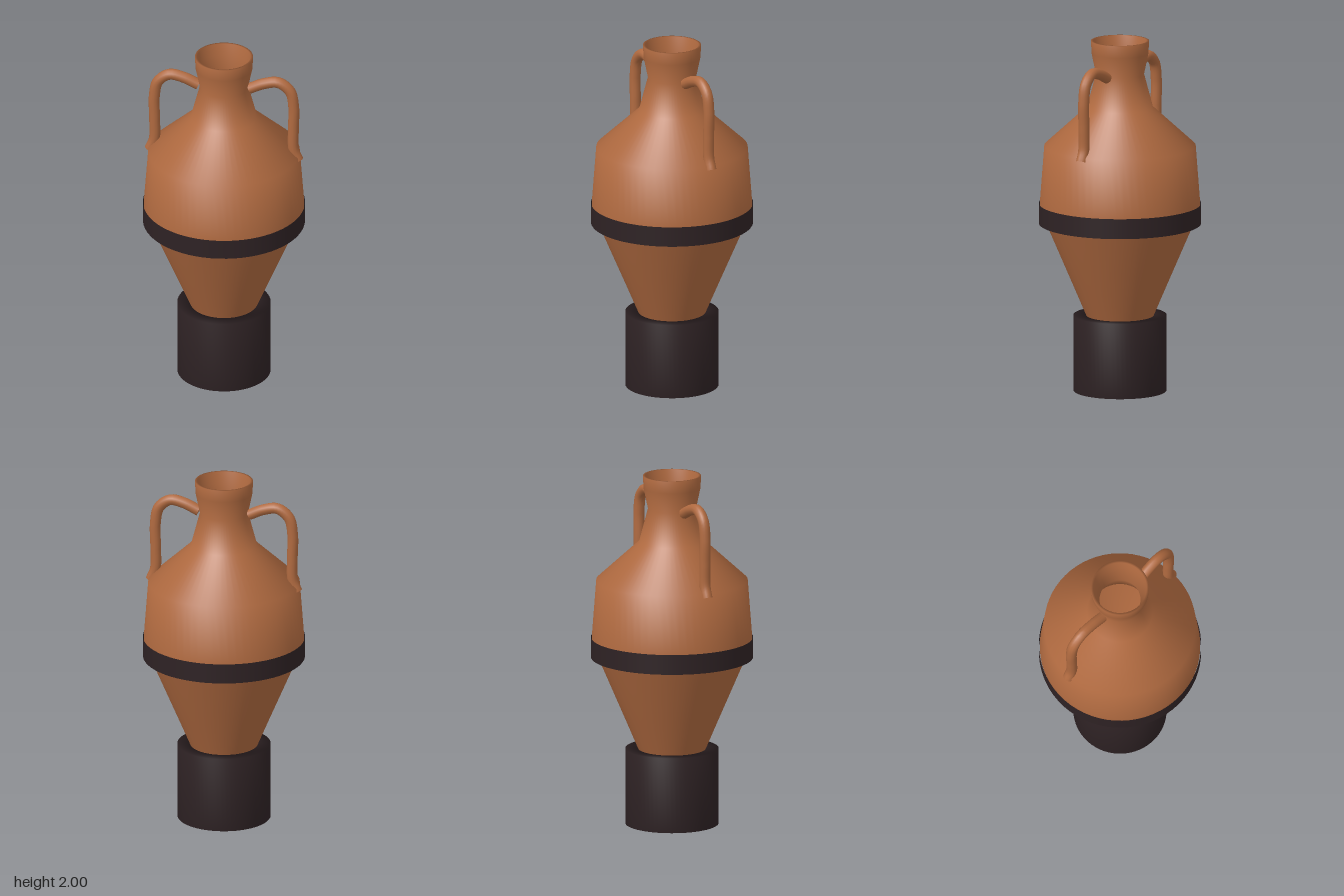
import * as THREE from 'three';

const clay = new THREE.MeshStandardMaterial({ color: 0xb06a40, side: THREE.DoubleSide });
clay.name = 'terracotta';
const dark = new THREE.MeshStandardMaterial({ color: 0x2e2224, side: THREE.DoubleSide });
dark.name = 'dark glaze';

function add(group, name, geometry, material) {
  const mesh = new THREE.Mesh(geometry, material);
  mesh.name = name;
  group.add(mesh);
  return mesh;
}

const lathe = (pts) => new THREE.LatheGeometry(pts.map(([r, y]) => new THREE.Vector2(r, y)), 64);

export function createModel() {
  const group = new THREE.Group();
  group.name = 'amphora';

  // Thin-walled vessel: outer wall upward, over the rim, inner wall down to the floor
  add(group, 'vesselBody', lathe([
    [0, 0.1], [0.055, 0.11], [0.19, 0.43], [0.262, 0.6], [0.45, 1.04], [0.45, 1.07],
    [0.425, 1.4], [0.185, 1.62], [0.135, 1.81], [0.16, 1.93], [0.163, 2],
    [0.15, 2], [0.145, 1.93], [0.115, 1.81], [0.165, 1.61], [0.4, 1.39],
    [0.425, 1.06], [0.165, 0.43], [0.06, 0.17], [0, 0.14],
  ]), clay);

  // Open band around the widest part
  const band = new THREE.CylinderGeometry(0.455, 0.455, 0.114, 64, 1, true);
  add(group, 'bellyBand', band, dark).position.y = 1.013;

  // Hollow ring stand holding the pointed base
  add(group, 'stand', lathe([
    [0.2, 0], [0.262, 0], [0.262, 0.43], [0.19, 0.43], [0.2, 0],
  ]), dark);

  // Mirrored handles from neck to shoulder
  for (const [name, s] of [['leftHandle', 1], ['rightHandle', -1]]) {
    const path = new THREE.CatmullRomCurve3([
      [0.145, 1.81], [0.23, 1.848], [0.31, 1.86], [0.375, 1.81], [0.396, 1.71],
      [0.394, 1.57], [0.396, 1.44], [0.42, 1.377],
    ].map(([x, y]) => new THREE.Vector3(s * x, y, 0)));
    add(group, name, new THREE.TubeGeometry(path, 40, 0.031, 12), clay);
    // Cap on the neck end
    const cap = new THREE.CircleGeometry(0.031, 12);
    const end = add(group, name + 'Cap', cap, clay);
    end.position.copy(path.getPointAt(0));
    end.lookAt(end.position.clone().sub(path.getTangentAt(0)));
  }
  return group;
}
